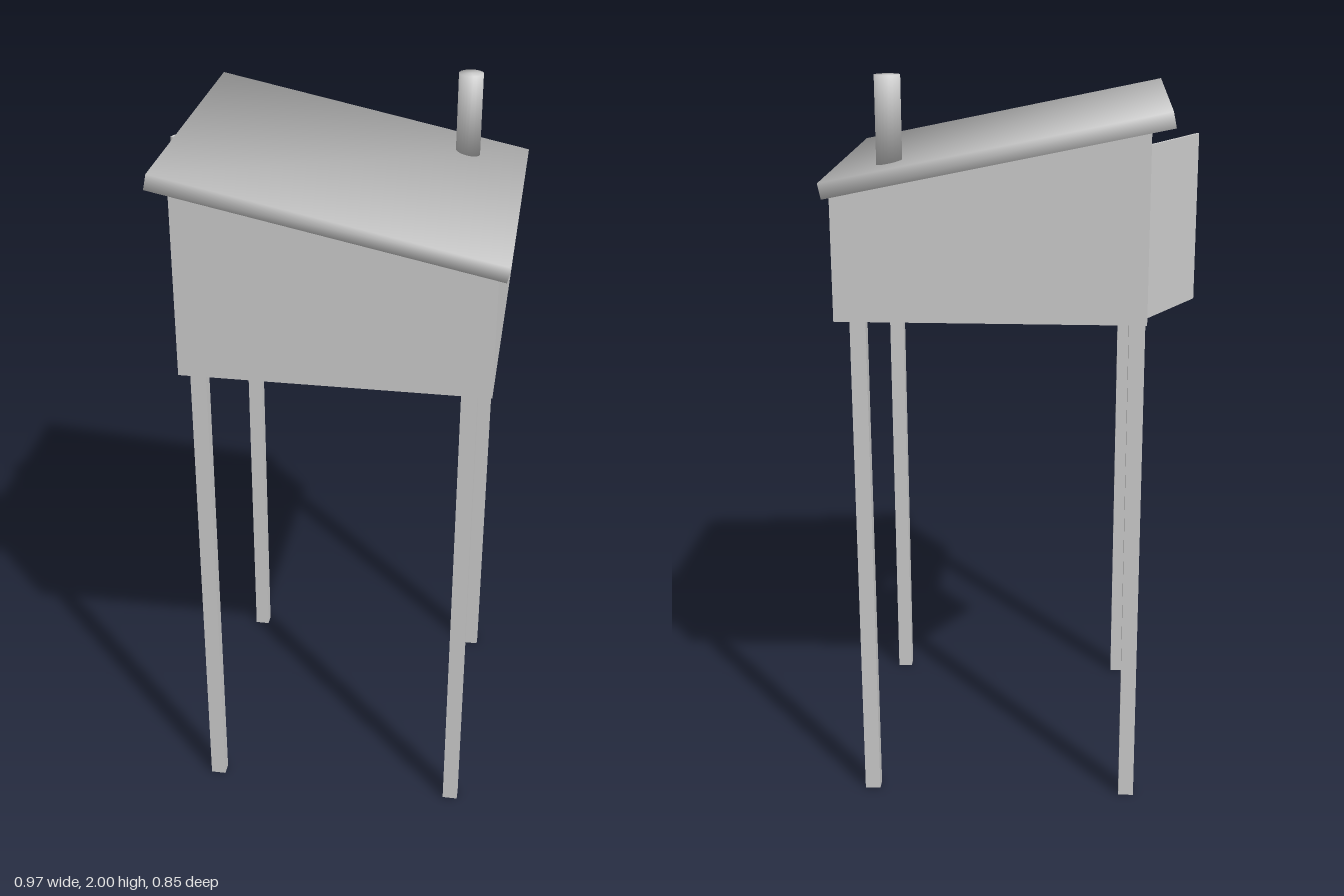
import * as THREE from 'three';

const BASE = 1.385;             // underside of the walls
const T = 0.015;                // wall thickness
const X0 = -0.355, X1 = 0.455;  // house extent along x
const Z = 0.425;                // half depth of the house
const roofUnder = (x) => 1.808 - 0.207 * x;

const material = new THREE.MeshStandardMaterial({ color: 0xcccccc, side: THREE.DoubleSide });

// Shared normals across the edges, pointing out from the middle of the part
function soften(geo) {
  geo.computeBoundingBox();
  const half = geo.boundingBox.getSize(new THREE.Vector3()).multiplyScalar(0.5);
  const p = geo.attributes.position, n = new THREE.Vector3();
  for (let i = 0; i < p.count; i++) {
    n.fromBufferAttribute(p, i).divide(half).normalize();
    geo.attributes.normal.setXYZ(i, n.x, n.y, n.z);
  }
  return geo;
}

function polygon(points) {
  return new THREE.Shape(points.map(([x, y]) => new THREE.Vector2(x, y)));
}

export function createModel() {
  const model = new THREE.Group();
  const add = (name, geo, x, y, z, parent = model) => {
    const mesh = new THREE.Mesh(geo, material);
    mesh.name = name;
    mesh.position.set(x, y, z);
    parent.add(mesh);
    return mesh;
  };
  const box = (w, h, d) => new THREE.BoxGeometry(w, h, d);
  const extrude = (shape) => new THREE.ExtrudeGeometry(shape, { depth: T, bevelEnabled: false });

  // Stilts
  for (const [x, z] of [[-0.312, 0.37], [-0.33, -0.39], [0.395, 0.37], [0.395, -0.39]]) {
    add('stilt', box(0.042, BASE, 0.036), x, BASE / 2, z);
  }

  // Front and back walls, sloping along the top
  const sloped = polygon([[X0, BASE], [X1, BASE], [X1, roofUnder(X1)], [X0, roofUnder(X0)]]);
  add('frontWall', extrude(sloped), 0, 0, Z - T);
  add('backWall', extrude(sloped), 0, 0, -Z);

  // Low side wall
  const lowH = roofUnder(X1) - BASE;
  add('lowWall', box(T, lowH, 2 * Z - 2 * T), X1 - T / 2, BASE + lowH / 2, 0);

  // High side wall, with a doorway cut from the bottom and a window hole
  const top = roofUnder(X0), e = Z - T;
  const doorTop = 1.835, d0 = -0.355, d1 = -0.085;
  const high = polygon([[-e, BASE], [d0, BASE], [d0, doorTop], [d1, doorTop], [d1, BASE],
    [e, BASE], [e, top], [-e, top]]);
  const w0 = 0.12, w1 = 0.34, v0 = 1.65, v1 = 1.83;
  high.holes.push(polygon([[w0, v0], [w0, v1], [w1, v1], [w1, v0]]));
  add('doorWall', extrude(high).rotateY(-Math.PI / 2), X0 + T, 0, 0);

  // Window frame and crossbars
  const frame = new THREE.Group();
  frame.name = 'windowFrame';
  model.add(frame);
  const wc = (w0 + w1) / 2, vc = (v0 + v1) / 2, bar = 0.014;
  for (const z of [w0, wc, w1]) add('windowUpright', box(0.03, v1 - v0 + bar, bar), X0, vc, z, frame);
  for (const y of [v0, vc, v1]) add('windowRail', box(0.026, bar, w1 - w0 + bar), X0, y, wc, frame);

  // Door swung open on its hinge
  const doorH = doorTop - BASE, doorW = 0.272;
  const hinge = add('door', box(0.008, doorH, doorW).translate(0, 0, doorW / 2),
    X0 + 0.004, BASE + doorH / 2, -0.35);
  hinge.rotation.y = -0.522;

  // Pitched roof slab
  const roof = add('roof', soften(box(0.908, 0.042, 0.854)), 0.034, 1.815, 0);
  roof.rotation.z = -0.204;

  // Chimney pipe
  add('chimney', soften(new THREE.CylinderGeometry(0.034, 0.034, 0.23, 24)), 0.318, 1.885, -0.284);

  return model;
}
